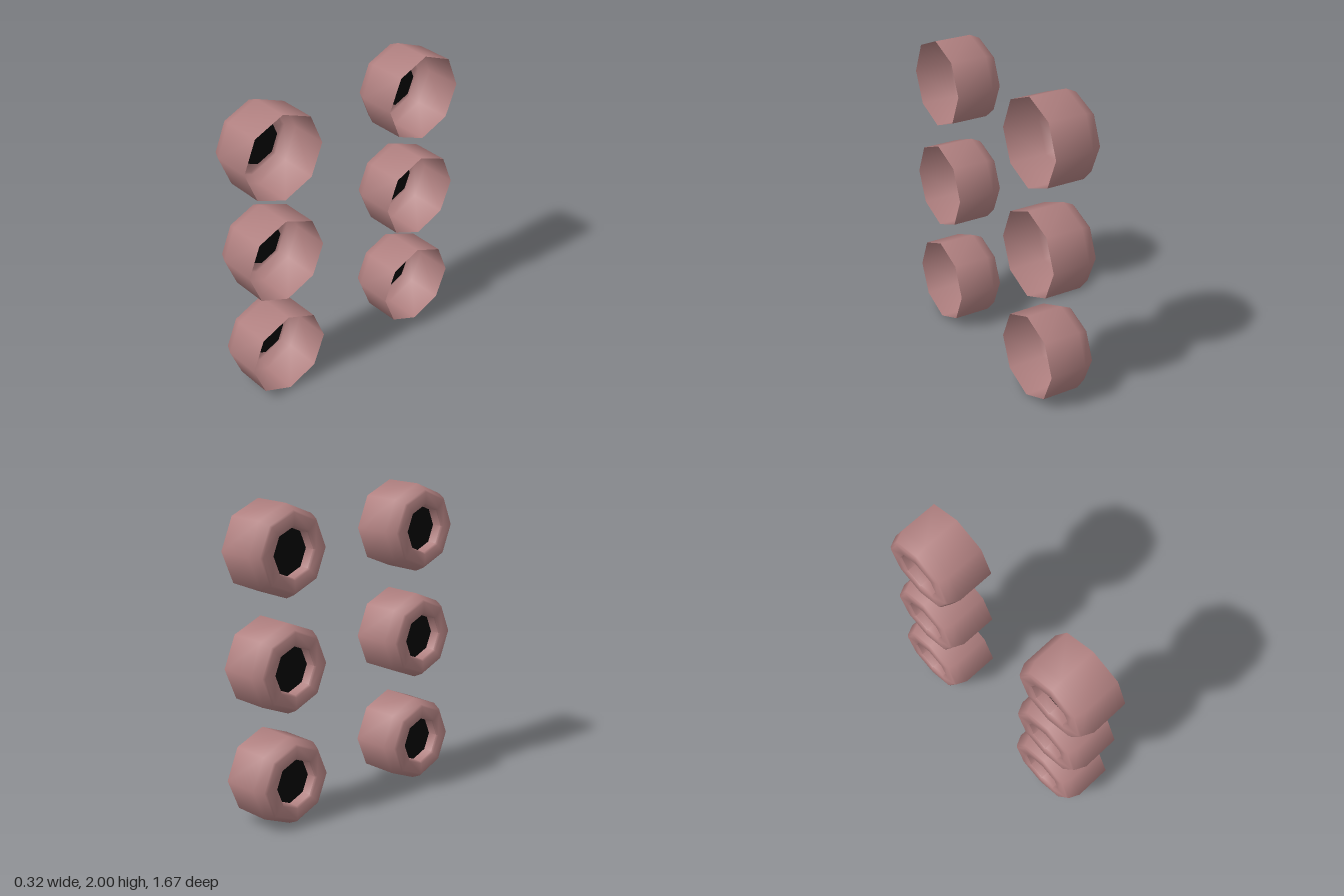
import * as THREE from 'three';
import { toCreasedNormals } from 'three/addons/utils/BufferGeometryUtils.js';

const SIDES = 8;

// Wheel shell: open at +x, chamfered rim and recessed hub hole at -x.
// Profile points are [radius, distance towards -x].
function shellGeometry() {
  const profile = [
    [0.284, -0.162], [0.284, 0.085], [0.252, 0.152], [0.238, 0.163],
    [0.165, 0.163], [0.153, 0.152], [0.15, 0.09],
  ].map(([r, d]) => new THREE.Vector2(r, d));
  const geometry = new THREE.LatheGeometry(profile, SIDES);
  geometry.rotateZ(Math.PI / 2);
  return toCreasedNormals(geometry, THREE.MathUtils.degToRad(50));
}

// Dark plate closing the bottom of the hub recess, facing -x
function hubGeometry() {
  return new THREE.CircleGeometry(0.15, SIDES).rotateY(-Math.PI / 2).translate(-0.09, 0, 0);
}

export function createModel() {
  const model = new THREE.Group();
  model.name = 'wheelSet';

  const shellMaterial = new THREE.MeshStandardMaterial({ color: 0xb08080, side: THREE.DoubleSide });
  const hubMaterial = new THREE.MeshStandardMaterial({ color: 0x050505, side: THREE.DoubleSide });
  const shell = shellGeometry();
  const hub = hubGeometry();

  // Two columns of three wheels
  for (const [column, z] of [['front', 0.553], ['back', -0.553]]) {
    for (const [row, y] of [['Lower', 0.284], ['Middle', 1], ['Upper', 1.716]]) {
      const wheel = new THREE.Group();
      wheel.name = `${column}${row}Wheel`;
      const shellMesh = new THREE.Mesh(shell, shellMaterial);
      shellMesh.name = 'wheelShell';
      const hubMesh = new THREE.Mesh(hub, hubMaterial);
      hubMesh.name = 'hubPlate';
      wheel.add(shellMesh, hubMesh);
      wheel.position.set(0, y, z);
      model.add(wheel);
    }
  }
  return model;
}
